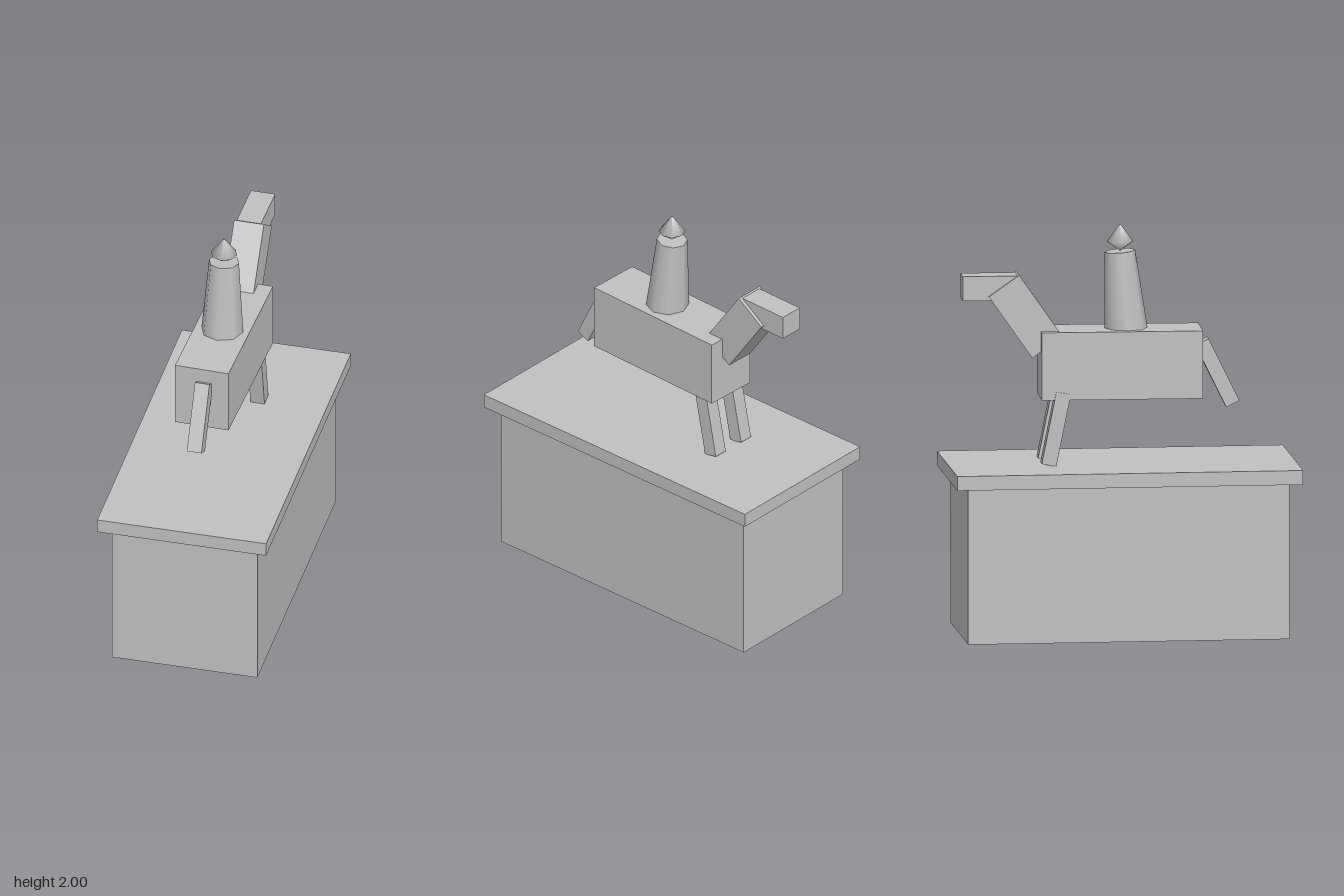
import * as THREE from 'three';

export function createModel() {
  const group = new THREE.Group();
  group.name = 'horseStatue';
  const stone = new THREE.MeshStandardMaterial({ color: 0xc0c0c0, side: THREE.DoubleSide });
  stone.name = 'grey stone';

  const add = (name, geometry, position, rotation = [0, 0, 0]) => {
    const mesh = new THREE.Mesh(geometry, stone);
    mesh.name = name;
    mesh.position.set(...position);
    mesh.rotation.set(...rotation);
    group.add(mesh);
    return mesh;
  };
  const box = (name, size, position, rotation) =>
    add(name, new THREE.BoxGeometry(...size), position, rotation);

  // Hollow pedestal, open underneath, slightly turned
  const shell = new THREE.BoxGeometry(0.727, 0.765, 1.57);
  const faces = Array.from(shell.index.array);
  faces.splice(18, 6); // drop the bottom face
  shell.setIndex(faces);
  shell.clearGroups();
  add('pedestal', shell, [0, 0.3825, 0], [0, 0.0175, 0]);
  box('pedestalSlab', [0.845, 0.07, 1.69], [0, 0.8, 0], [0, 0.0175, 0]);

  // Horse: body, neck, head and tail
  box('horseBody', [0.27, 0.332, 0.785], [0, 1.321, 0], [0, -0.0155, 0]);
  box('horseNeck', [0.15, 0.37, 0.181], [-0.009, 1.561, -0.468], [-0.61, 0, 0]);
  box('horseHead', [0.122, 0.12, 0.266], [-0.012, 1.7, -0.641]);
  box('horseTail', [0.073, 0.34, 0.072], [0.006, 1.263, 0.472], [-0.457, 0, 0]);

  // The pair of legs, leaning back under the body
  for (const [name, x] of [['rightLeg', -0.1], ['leftLeg', 0.081]]) {
    box(name, [0.071, 0.36, 0.072], [x, 1.014, -0.324], [0.2, 0, 0]);
  }

  // Rider: tapered eight-sided torso and a pointed head
  add('riderTorso', new THREE.CylinderGeometry(0.075, 0.105, 0.385, 8),
    [0, 1.673, 0.014], [-0.078, 0, 0]);
  const headProfile = [[0, 1.866], [0.065, 1.912], [0, 2]]
    .map(([r, y]) => new THREE.Vector2(r, y));
  add('riderHead', new THREE.LatheGeometry(headProfile, 8), [0, 0, 0]);

  return group;
}
